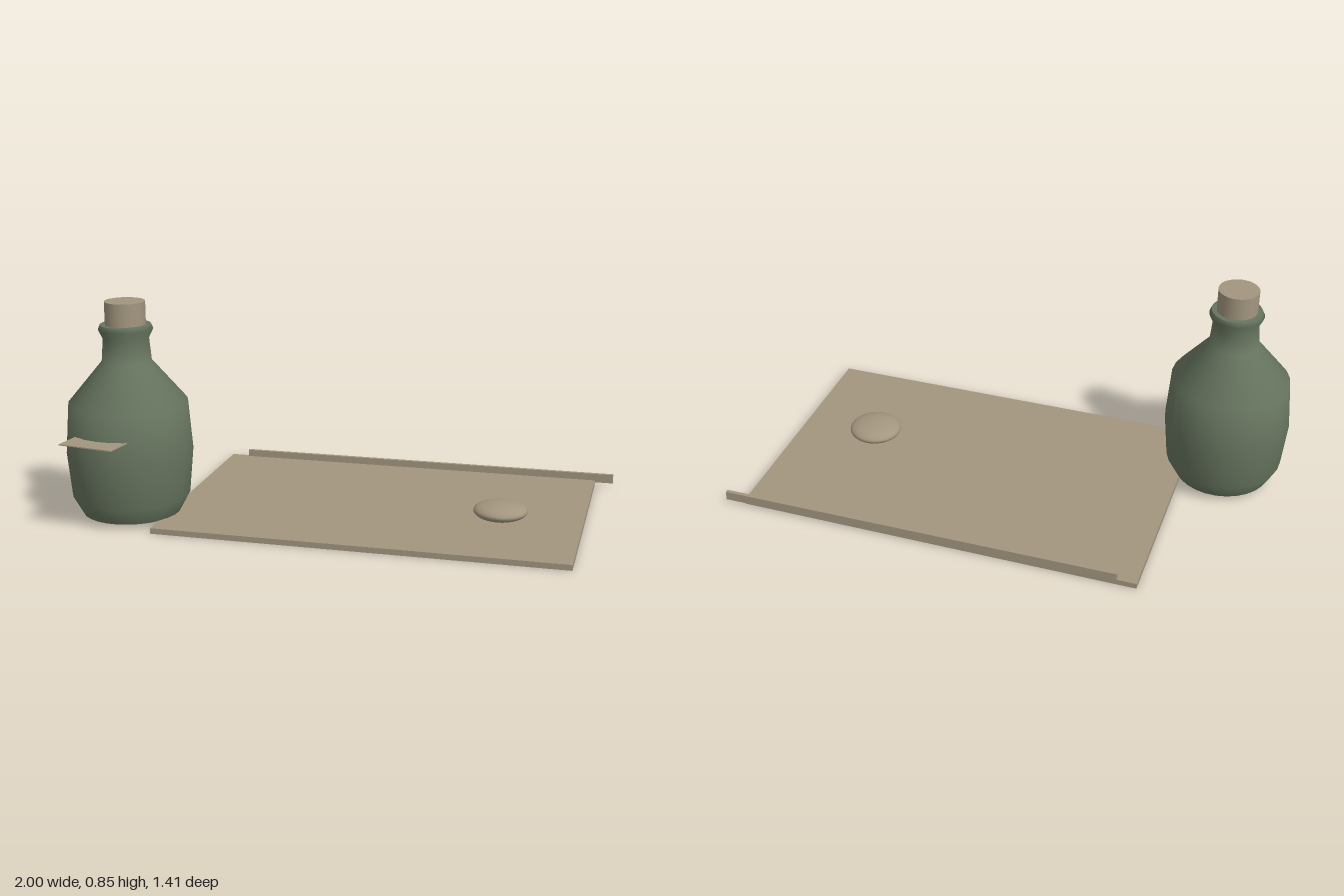
import * as THREE from 'three';

const tan = new THREE.MeshStandardMaterial({ name: 'tan', color: 0xa3967f });
const green = new THREE.MeshStandardMaterial({ name: 'bottleGreen', color: 0x67755f });

export function createModel() {
  const model = new THREE.Group();
  model.name = 'bottleAndBoard';

  function add(name, geometry, material, x, y, z, parent = model) {
    const mesh = new THREE.Mesh(geometry, material);
    mesh.name = name;
    mesh.position.set(x, y, z);
    parent.add(mesh);
    return mesh;
  }

  // Flat board turned slightly, with a thin rail overhanging its back edge
  const turn = 0.156;
  add('board', new THREE.BoxGeometry(1.59, 0.022, 1.005), tan, 0.134, 0.011, -0.062).rotation.y = turn;
  add('backRail', new THREE.BoxGeometry(1.588, 0.036, 0.015), tan, 0.13, 0.032, -0.571).rotation.y = turn + 0.007;

  // Flattened pebble resting on the board
  add('pebble', new THREE.SphereGeometry(0.105, 32, 20), tan, 0.617, 0.055, -0.066).scale.y = 0.33;

  // Bottle with a swelling body, narrow neck and flared lip
  const bottle = new THREE.Group();
  bottle.name = 'bottle';
  bottle.position.set(-0.755, 0, 0.38);
  model.add(bottle);

  const body = [
    [0.19, 0.02], [0.228, 0.09], [0.245, 0.27], [0.23, 0.46], [0.096, 0.62],
    [0.088, 0.71], [0.105, 0.745], [0.097, 0.763],
  ].map(([r, y]) => new THREE.Vector2(r, y));
  add('bottleBody', new THREE.LatheGeometry(body, 28), green, 0, 0, 0, bottle);

  // Shallow base and lip top as separate surfaces for sharp edges
  const disc = (points) => new THREE.LatheGeometry(points.map(([r, y]) => new THREE.Vector2(r, y)), 28);
  add('bottleBase', disc([[0, 0.003], [0.19, 0.02]]), green, 0, 0, 0, bottle);
  add('bottleLipTop', disc([[0.097, 0.763], [0.07, 0.763]]), green, 0, 0, 0, bottle);

  add('cork', new THREE.CylinderGeometry(0.078, 0.078, 0.12, 28), tan, 0, 0.792, 0, bottle);

  // Thin tag sticking out horizontally from the front of the body
  add('tag', new THREE.BoxGeometry(0.225, 0.004, 0.14), tan, 0.002, 0.356, 0.25, bottle);

  return model;
}
